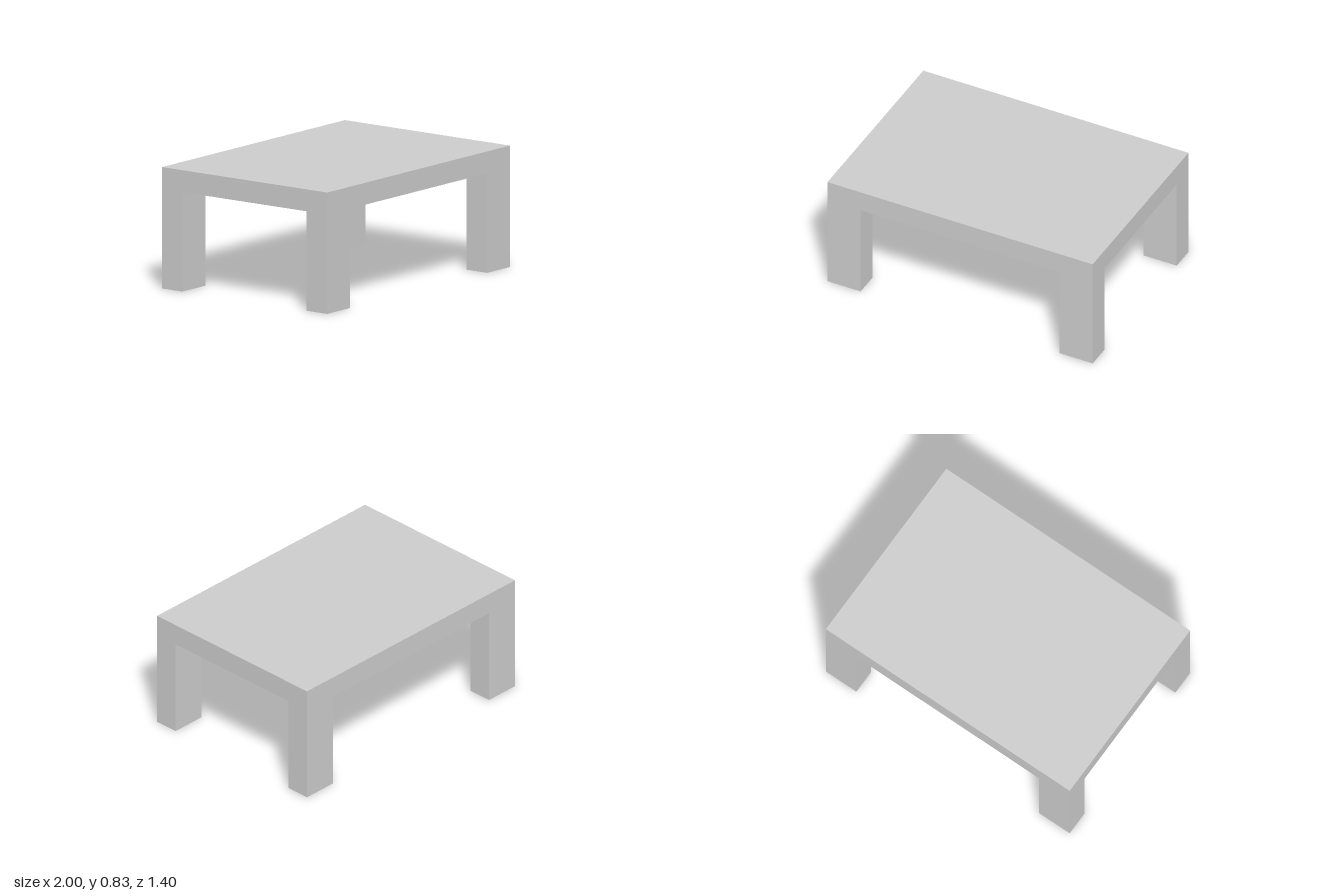
import * as THREE from 'three';

const WIDTH = 2, DEPTH = 1.4, HEIGHT = 0.83;
const LEG_WIDTH = 0.25, LEG_DEPTH = 0.173, LEG_HEIGHT = 0.68;

export function createModel() {
  const group = new THREE.Group();
  group.name = 'table';
  const material = new THREE.MeshStandardMaterial({ color: 0xcccccc });

  const addBox = (name, w, h, d, x, y, z) => {
    const mesh = new THREE.Mesh(new THREE.BoxGeometry(w, h, d), material);
    mesh.name = name;
    mesh.position.set(x, y, z);
    group.add(mesh);
  };

  // Thick slab top
  const slab = HEIGHT - LEG_HEIGHT;
  addBox('tableTop', WIDTH, slab, DEPTH, 0, LEG_HEIGHT + slab / 2, 0);

  // Four legs flush with the corners of the top
  for (const [sideName, sx] of [['Left', 1], ['Right', -1]]) {
    for (const [endName, sz] of [['front', 1], ['back', -1]]) {
      addBox(`${endName}${sideName}Leg`, LEG_WIDTH, LEG_HEIGHT, LEG_DEPTH,
        sx * (WIDTH - LEG_WIDTH) / 2, LEG_HEIGHT / 2, sz * (DEPTH - LEG_DEPTH) / 2);
    }
  }

  return group;
}
